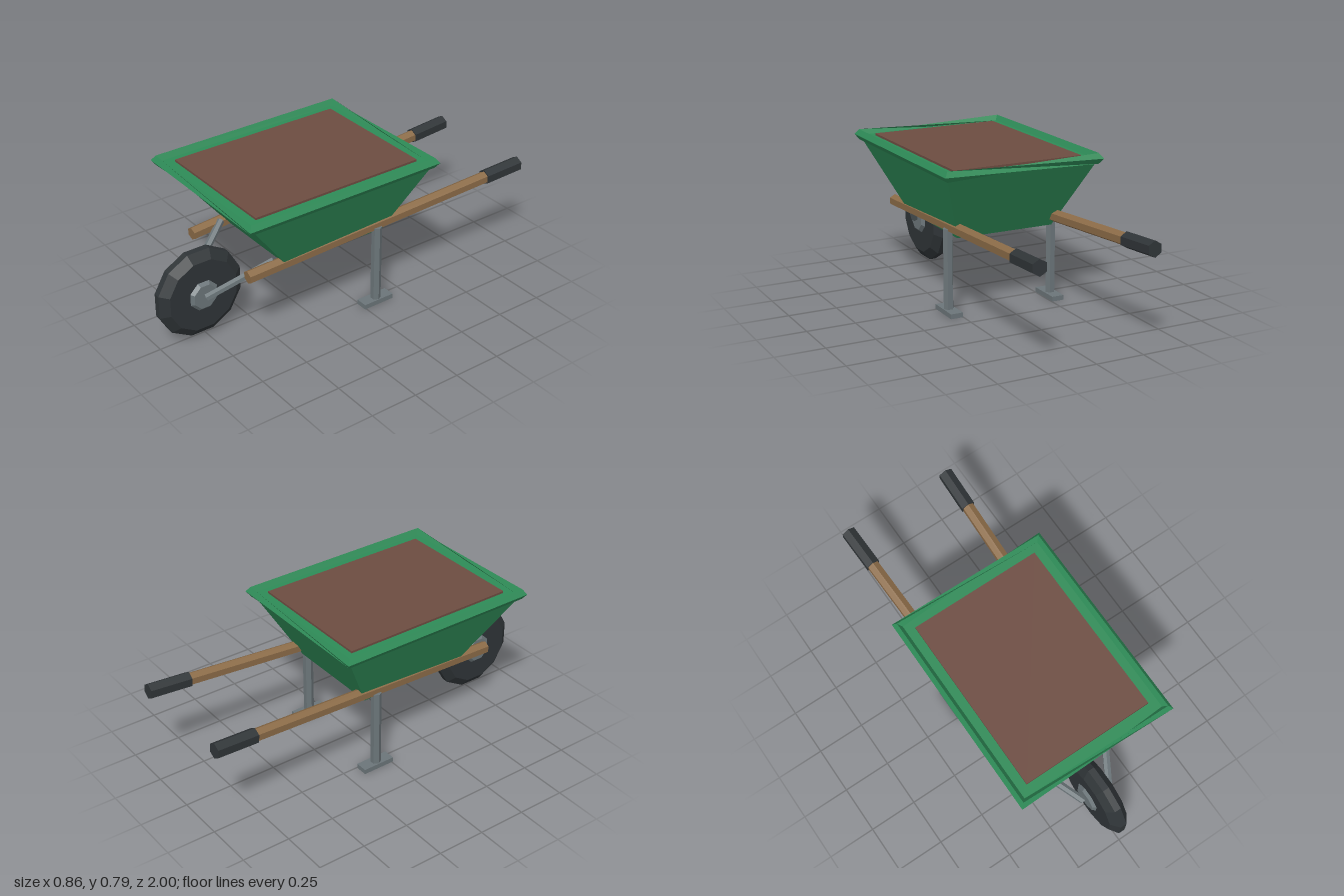
import * as THREE from 'three';

const mat = (color) => new THREE.MeshStandardMaterial({ color, flatShading: true });

export function createModel() {
  const model = new THREE.Group();
  const green = mat(0x2e8b57), soil = mat(0x6d4c41), wood = mat(0x8b6b47);
  const rubber = mat(0x2f3437), metal = mat(0x6b7579);
  const V = (x, y, z) => new THREE.Vector3(x, y, z);

  const add = (name, geometry, material) => {
    const mesh = new THREE.Mesh(geometry, material);
    mesh.name = name;
    model.add(mesh);
    return mesh;
  };

  // Six-sided bar between two points, with an edge on top
  const bar = (name, a, b, r, material) => {
    const geo = new THREE.CylinderGeometry(r, r, a.distanceTo(b), 6).rotateX(Math.PI / 2);
    const mesh = add(name, geo, material);
    mesh.position.copy(a).lerp(b, 0.5);
    mesh.lookAt(b);
    return mesh;
  };

  // Tray: a box whose vertices move to a wide top and a narrow bottom
  const top = { y: 0.76, x: 0.409, back: -0.33, front: 0.727 };
  const bottom = { y: 0.395, x: 0.262, back: -0.13, front: 0.437 };
  const trayGeo = new THREE.BoxGeometry(1, 1, 1);
  const pos = trayGeo.attributes.position;
  for (let i = 0; i < pos.count; i++) {
    const level = pos.getY(i) > 0 ? top : bottom;
    pos.setXYZ(i, Math.sign(pos.getX(i)) * level.x, level.y,
      pos.getZ(i) > 0 ? level.front : level.back);
  }
  trayGeo.computeVertexNormals();
  add('tray', trayGeo, green);

  // Rim: diamond sections at the corners; front and back bars twist a quarter turn
  const ring = ([sx, sz]) => {
    const z = sz > 0 ? top.front : top.back, d = 0.019, h = 0.027;
    const c = V(sx * top.x, top.y, z);
    return [V(0, h, 0), V(sx * d, 0, sz * d), V(0, -h, 0), V(-sx * d, 0, -sz * d)]
      .map((offset) => offset.add(c));
  };
  const corners = [[-1, 1], [1, 1], [1, -1], [-1, -1]];
  const rimPoints = [];
  corners.forEach((corner, i) => {
    const s = ring(corner), e = ring(corners[(i + 1) % 4]);
    const shift = i % 2 === 0 ? 1 : 0;
    for (let k = 0; k < 4; k++) {
      const a = s[k], b = s[(k + 1) % 4];
      const c = e[(k + 1 + shift) % 4], d = e[(k + shift) % 4];
      rimPoints.push(a, b, c, a, c, d);
    }
  });
  const rimGeo = new THREE.BufferGeometry().setFromPoints(rimPoints);
  rimGeo.computeVertexNormals();
  add('rim', rimGeo, green);

  // Soil load
  add('soil', new THREE.BoxGeometry(0.69, 0.03, 0.93), soil).position.set(0, 0.756, 0.195);

  // Wheel: tyre and hub turned around the x axis
  const wheelY = 0.247, wheelZ = 0.773;
  const turned = (name, profile, sides, material) => {
    const points = profile.map(([r, x]) => new THREE.Vector2(r, x));
    const geo = new THREE.LatheGeometry(points, sides, Math.PI / sides).rotateZ(-Math.PI / 2);
    add(name, geo, material).position.set(0, wheelY, wheelZ);
  };
  turned('tyre', [[0, -0.05], [0.19, -0.05], [0.235, -0.017],
    [0.235, 0.017], [0.19, 0.05], [0, 0.05]], 12, rubber);
  turned('hub', [[0, -0.066], [0.065, -0.066], [0.083, -0.048],
    [0.083, 0.048], [0.065, 0.066], [0, 0.066]], 8, metal);

  // Shafts, grips, struts, legs and feet on both sides
  for (const [side, s] of [['left', 1], ['right', -1]]) {
    const front = V(s * 0.245, 0.4, 0.65), back = V(s * 0.296, 0.495, -0.998);
    const gripStart = front.clone().lerp(back, 0.866);
    bar(side + 'Shaft', front, back.clone().lerp(front, 0.02), 0.033, wood);
    bar(side + 'Grip', gripStart, back, 0.04, rubber);
    bar(side + 'Strut', V(s * 0.077, 0.25, 0.775), V(s * 0.23, 0.427, 0.49), 0.019, metal);

    const legGeo = new THREE.CylinderGeometry(0.026, 0.026, 0.42, 6).rotateY(Math.PI / 2);
    add(side + 'Leg', legGeo, metal).position.set(s * 0.288, 0.225, -0.08);
    add(side + 'Foot', new THREE.BoxGeometry(0.064, 0.025, 0.175), metal)
      .position.set(s * 0.285, 0.0125, -0.08);
  }
  return model;
}
